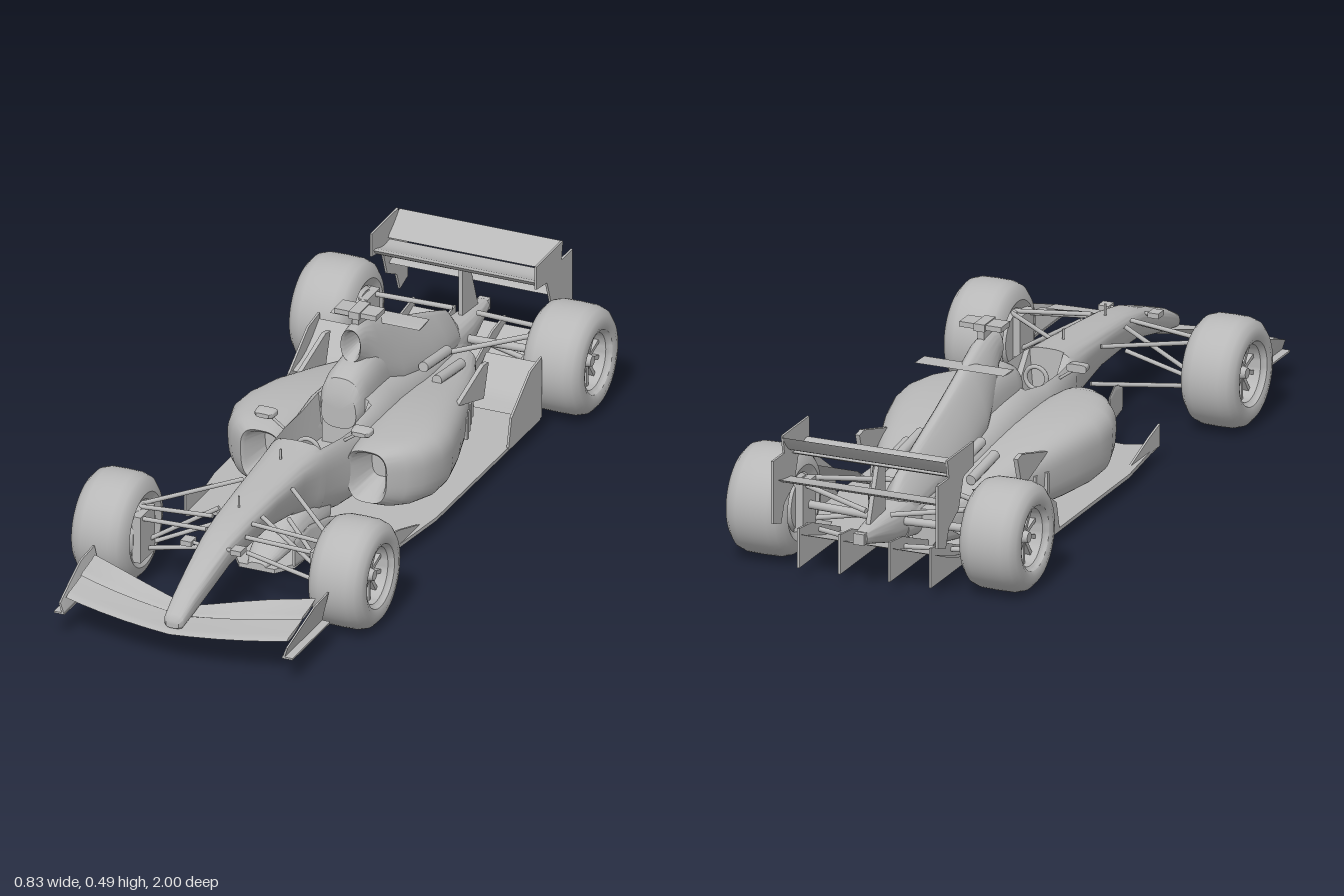
import * as THREE from 'three';
import { toCreasedNormals } from 'three/addons/utils/BufferGeometryUtils.js';

const V = (x, y, z) => new THREE.Vector3(x, y, z);

// Closed skin through equal-length rings of points, capped at both ends
function loft(rings, crease = 0.7) {
  const n = rings[0].length, pos = [], idx = [];
  rings.forEach(r => r.forEach(p => pos.push(p.x, p.y, p.z)));
  for (let s = 0; s < rings.length - 1; s++)
    for (let i = 0; i < n; i++) {
      const a = s * n + i, b = s * n + (i + 1) % n;
      idx.push(a, a + n, b, b, a + n, b + n);
    }
  [0, rings.length - 1].forEach((s, end) => {
    const c = pos.length / 3, m = V(0, 0, 0);
    rings[s].forEach(p => m.addScaledVector(p, 1 / n));
    pos.push(m.x, m.y, m.z);
    for (let i = 0; i < n; i++) {
      const a = s * n + i, b = s * n + (i + 1) % n;
      idx.push(c, ...(end ? [b, a] : [a, b]));
    }
  });
  const g = new THREE.BufferGeometry();
  g.setAttribute('position', new THREE.Float32BufferAttribute(pos, 3));
  g.setIndex(idx);
  return toCreasedNormals(g, crease);
}

// Rounded section: k scales the width at the bottom, notch cuts an opening in the top
function section({ z, x = 0, w, yb, yt, n = 2.6, k = 1, notch = 0, floor = 0.15 }) {
  const pts = [], pw = v => Math.sign(v) * Math.abs(v) ** (2 / n);
  for (let i = 0; i < 48; i++) {
    const a = i / 48 * Math.PI * 2, t = (pw(Math.sin(a)) + 1) / 2;
    const px = w * pw(Math.cos(a)) * (1 + (k - 1) * (1 - t));
    let y = yb + (yt - yb) * t;
    if (notch && t > 0.5 && Math.abs(px) < notch) y = Math.min(y, floor);
    pts.push(V(x + px, y, z));
  }
  return pts;
}

// Aerofoil ring at span x, from leading edge (y0, z0) to trailing edge (y1, z1)
function foil(x, y0, z0, y1, z1, th, camber = 0.008) {
  const pts = [], N = 8;
  const at = (t, side) => V(x,
    y0 + (y1 - y0) * t - camber * Math.sin(Math.PI * t) + side * th * Math.sqrt(t) * (1 - t) * 1.3,
    z0 + (z1 - z0) * t);
  for (let i = 0; i <= N; i++) pts.push(at(i / N, -1));
  for (let i = N - 1; i > 0; i--) pts.push(at(i / N, 1));
  return pts;
}

// Flat plates: upright (z, y outline) and level (x, z outline)
function outline(pts, th) {
  return new THREE.ExtrudeGeometry(new THREE.Shape(pts.map(p => new THREE.Vector2(...p))),
    { depth: th, bevelEnabled: false });
}
const upright = (pts, x, th = 0.006) => outline(pts, th).rotateY(-Math.PI / 2).translate(x + th / 2, 0, 0);
const level = (half, y, th = 0.008) =>
  outline([...half, ...half.slice().reverse().map(([x, z]) => [-x, z])], th).rotateX(Math.PI / 2).translate(0, y, 0);

// Round bar between two points
function bar(a, b, r, r2 = r) {
  const p = V(...a), q = V(...b), d = q.clone().sub(p);
  const g = new THREE.CylinderGeometry(r2, r, d.length(), 10);
  g.applyQuaternion(new THREE.Quaternion().setFromUnitVectors(V(0, 1, 0), d.normalize()));
  return g.translate((p.x + q.x) / 2, (p.y + q.y) / 2, (p.z + q.z) / 2);
}
const box = (w, h, d, x, y, z) => new THREE.BoxGeometry(w, h, d).translate(x, y, z);

export function createModel() {
  const car = new THREE.Group();
  car.name = 'racingCar';
  const grey = new THREE.MeshStandardMaterial({ color: 0xb8b8b8, side: THREE.DoubleSide });
  grey.name = 'bodyGrey';
  const add = (name, geo, parent = car) => {
    const m = new THREE.Mesh(geo, grey);
    m.name = name;
    parent.add(m);
    return m;
  };

  // Nose and tub with open cockpit: z, half width, bottom, top, bottom width, notch
  add('chassis', loft([
    [0.975, 0.018, 0.095, 0.115, 1], [0.965, 0.027, 0.09, 0.13, 1], [0.9, 0.034, 0.1, 0.163, 0.9],
    [0.8, 0.042, 0.122, 0.2, 0.85], [0.7, 0.05, 0.145, 0.233, 0.8], [0.6, 0.058, 0.15, 0.25, 0.75],
    [0.45, 0.068, 0.145, 0.263, 0.65], [0.3, 0.08, 0.115, 0.274, 0.6], [0.22, 0.088, 0.08, 0.28, 0.7],
    [0.2, 0.09, 0.07, 0.282, 0.8], [0.195, 0.09, 0.07, 0.282, 0.8, 0.045], [0.1, 0.098, 0.05, 0.282, 1, 0.073],
    [0, 0.105, 0.045, 0.275, 1.1, 0.073], [-0.09, 0.11, 0.045, 0.285, 1.1, 0.066], [-0.095, 0.11, 0.045, 0.286, 1.1],
    [-0.2, 0.105, 0.045, 0.285, 1.2], [-0.4, 0.09, 0.045, 0.24, 1.3], [-0.6, 0.065, 0.06, 0.19, 1.2],
    [-0.76, 0.045, 0.08, 0.165, 1]
  ].map(([z, w, yb, yt, k, notch]) => section({ z, w, yb, yt, k, notch, n: 3 }))));
  add('steeringWheel', new THREE.TorusGeometry(0.03, 0.006, 8, 20).translate(0, 0.225, 0.13));
  add('seatBack', box(0.1, 0.12, 0.02, 0, 0.2, -0.07).rotateX(-0.05));
  add('headrest', loft([[-0.06, 0.045, 0.3], [-0.075, 0.053, 0.335], [-0.11, 0.056, 0.352], [-0.2, 0.056, 0.365], [-0.3, 0.045, 0.34]]
    .map(([z, w, yt]) => section({ z, w, yb: 0.2, yt, k: 1.15 }))));

  // Air intake mouth flowing back into the engine cover
  add('engineCover', loft([
    [-0.22, 0.012, 0.375, 0.42, 1], [-0.145, 0.022, 0.363, 0.436, 1], [-0.135, 0.028, 0.355, 0.445, 1],
    [-0.17, 0.032, 0.335, 0.45, 1.1], [-0.23, 0.033, 0.25, 0.442, 1.8], [-0.32, 0.03, 0.19, 0.402, 3],
    [-0.42, 0.026, 0.17, 0.358, 3.6], [-0.52, 0.024, 0.15, 0.318, 3.8], [-0.62, 0.022, 0.14, 0.28, 3.5],
    [-0.72, 0.02, 0.13, 0.24, 3], [-0.76, 0.012, 0.14, 0.2, 3]
  ].map(([z, w, yb, yt, k]) => section({ z, w, yb, yt, k, n: 2.2 }))));
  add('cameraStem', box(0.018, 0.04, 0.05, 0, 0.455, -0.19));
  add('cameraBar', box(0.118, 0.014, 0.055, 0, 0.477, -0.19));
  add('cameraHousing', box(0.03, 0.02, 0.07, 0, 0.477, -0.19));
  add('coverWinglet', loft([0.125, -0.125].map(x => foil(x, 0.402, -0.285, 0.405, -0.35, 0.004, 0.001))));

  // Floor, central plank and rising diffuser
  add('floor', level([[0, 0.3], [0.07, 0.3], [0.14, 0.225], [0.21, 0.222], [0.285, 0.26], [0.29, 0.2],
    [0.312, 0.02], [0.315, -0.62], [0.235, -0.62], [0.22, -0.68], [0.18, -0.72], [0, -0.72]], 0.045, 0.01));
  add('plank', level([[0, 0.45], [0.05, 0.45], [0.085, 0.4], [0.1, 0.2], [0.1, -0.65], [0, -0.65]], 0.036, 0.012));
  add('splitter', loft([[0.45, 0.02, 0.045], [0.4, 0.035, 0.07], [0.28, 0.05, 0.13], [0.15, 0.06, 0.16]]
    .map(([z, w, yt]) => section({ z, w, yb: 0.03, yt, k: 1.4 }))));
  add('diffuser', loft([0.19, -0.19].map(x => foil(x, 0.04, -0.65, 0.12, -0.93, 0.008, 0.01))));

  // Gearbox and rear crash structure
  add('gearbox', loft([[-0.7, 0.05, 0.07, 0.19], [-0.82, 0.04, 0.09, 0.18], [-0.92, 0.025, 0.12, 0.17], [-0.96, 0.018, 0.13, 0.165]]
    .map(([z, w, yb, yt]) => section({ z, w, yb, yt }))));
  add('rearLight', box(0.03, 0.03, 0.02, 0, 0.148, -0.965));

  // Front wing: main plane and flap, swept and drooping to the middle
  const span = [0.31, 0.26, 0.2, 0.13, 0.06, 0, -0.06, -0.13, -0.2, -0.26, -0.31];
  add('frontWingMain', loft(span.map(x => {
    const t = Math.abs(x) / 0.31;
    return foil(x, 0.086 + 0.022 * t, 0.995 - 0.045 * t * t, 0.098 + 0.03 * t, 0.9 - 0.05 * t * t, 0.012, 0.004);
  })));
  add('frontWingFlap', loft(span.map(x => {
    const t = Math.abs(x) / 0.31;
    return foil(x, 0.1 + 0.03 * t, 0.908 - 0.05 * t * t, 0.11 + 0.042 * Math.sin(t * 1.9), 0.865 - 0.095 * t * t, 0.01, 0.005);
  })));

  // Rear wing: two upper elements and a lower beam
  add('rearWingMain', loft([0.228, -0.228].map(x => foil(x, 0.333, -0.785, 0.322, -0.885, 0.018, 0.014))));
  add('rearWingFlap', loft([0.228, -0.228].map(x => foil(x, 0.33, -0.875, 0.382, -0.945, 0.012, 0.008))));
  add('rearWingBeam', loft([0.23, -0.23].map(x => foil(x, 0.255, -0.88, 0.275, -0.97, 0.012, 0.006))));
  add('rearWingPylon', upright([[-0.82, 0.16], [-0.82, 0.32], [-0.86, 0.32], [-0.92, 0.16]], 0, 0.012));

  // Tyre and rim profiles (radius, offset along the axle)
  const tyre = (h, c) => [[0.078, -h + 0.012], [0.1, -h], [0.122, -h + 0.006], [0.138, -h + 0.02], [0.145, -h + 0.042],
    [0.146, 0], [0.145, h - 0.042], [0.138, h - 0.02], [0.122, h - 0.006], [0.1, h], [0.086, h - 0.006],
    [0.083, h - 0.014], [0.076, h - 0.02], [0.072, c], [0.001, c]];

  for (const s of [1, -1]) {
    const side = s > 0 ? 'left' : 'right';
    const part = (name, geo) => add(side + name, geo);
    const link = (name, a, b, r) => part(name, bar([a[0] * s, a[1], a[2]], [b[0] * s, b[1], b[2]], r));

    // Wheels
    for (const [name, z, h, x] of [['FrontWheel', 0.58, 0.08, 0.333], ['RearWheel', -0.777, 0.085, 0.328]]) {
      const wheel = new THREE.Group();
      wheel.name = side + name;
      const pts = tyre(h, h - 0.055).map(p => new THREE.Vector2(...p));
      add('tyreAndRim', toCreasedNormals(new THREE.LatheGeometry(pts, 56), 0.7), wheel);
      add('innerHub', new THREE.CylinderGeometry(0.08, 0.07, 0.02, 32).translate(0, -h + 0.014, 0), wheel);
      add('wheelNut', new THREE.CylinderGeometry(0.014, 0.022, 0.035, 16).translate(0, h - 0.04, 0), wheel);
      for (let i = 0; i < 10; i++)
        add('spoke', box(0.06, 0.016, 0.011, 0.045, h - 0.045, 0).rotateY(i * Math.PI / 5), wheel);
      wheel.rotation.z = -s * Math.PI / 2;
      wheel.position.set(s * x, 0.147, z);
      car.add(wheel);
    }

    // Sidepod with hollow inlet: z, inner x, outer x, bottom, top
    part('Sidepod', loft([
      [0, 0.12, 0.18, 0.12, 0.2], [0.085, 0.098, 0.2, 0.095, 0.223], [0.095, 0.09, 0.208, 0.087, 0.232],
      [0.06, 0.08, 0.25, 0.07, 0.24], [0.02, 0.07, 0.28, 0.06, 0.243], [-0.05, 0.06, 0.302, 0.05, 0.245],
      [-0.12, 0.05, 0.3, 0.045, 0.243], [-0.22, 0.04, 0.276, 0.042, 0.235], [-0.35, 0.03, 0.235, 0.042, 0.212],
      [-0.48, 0.02, 0.19, 0.042, 0.185], [-0.6, 0.02, 0.145, 0.042, 0.165], [-0.7, 0.02, 0.1, 0.05, 0.15]
    ].map(([z, a, b, yb, yt]) => section({ z, x: s * (a + b) / 2, w: (b - a) / 2, yb, yt, n: 3, k: 0.9 }))));
    for (let i = 0; i < 4; i++)
      part('CoolingGill', box(0.012, 0.06, 0.012, s * (0.236 - i * 0.014), 0.125, -0.33 - i * 0.04).rotateX(0));
    part('ChimneyFin', upright([[-0.3, 0.2], [-0.46, 0.245], [-0.49, 0.24], [-0.46, 0.15]], s * 0.222, 0.012));

    // Winglets sweeping up ahead of the rear wheel
    part('FlipUp', loft((s > 0 ? [0.312, 0.25, 0.16] : [-0.16, -0.25, -0.312])
      .map(x => foil(x, 0.12, -0.46, 0.195, -0.625, 0.008, 0.022))));
    part('FlipUpPlate', upright([[-0.42, 0.04], [-0.44, 0.12], [-0.56, 0.2], [-0.63, 0.21], [-0.63, 0.04]], s * 0.312));

    // Exhausts lying on the engine cover
    for (const [x, y] of [[0.085, 0.238], [0.123, 0.208]])
      link('Exhaust', [x, y, -0.4], [x, y - 0.02, -0.55], 0.014);

    // Barge board, floor tip and mirror
    part('BargeBoard', loft([[0.44, 0.1, 0.12], [0.37, 0.112, 0.14], [0.3, 0.13, 0.135], [0.24, 0.155, 0.12]]
      .map(([z, x, yt]) => section({ z, x: s * x, w: 0.004, yb: 0.05, yt, n: 4 }))));
    part('FloorTip', upright([[0.26, 0.04], [0.26, 0.1], [0.2, 0.085], [0.06, 0.04]], s * 0.287));
    part('Mirror', loft([[0.115, 0.018, 0.006], [0.105, 0.026, 0.01], [0.08, 0.028, 0.011]]
      .map(([z, w, h]) => section({ z, x: s * 0.135, w, yb: 0.286 - h, yt: 0.286 + h, n: 4 }))));
    link('MirrorStalk', [0.085, 0.25, 0.09], [0.13, 0.282, 0.09], 0.004);
    part('NoseCamera', box(0.03, 0.014, 0.035, s * 0.07, 0.215, 0.72));
    link('NoseCameraStalk', [0.03, 0.21, 0.72], [0.06, 0.215, 0.72], 0.005);

    // Front suspension
    link('UpperArmFore', [0.055, 0.235, 0.6], [0.275, 0.215, 0.59], 0.006);
    link('UpperArmAft', [0.07, 0.238, 0.38], [0.275, 0.215, 0.58], 0.006);
    link('SteeringArm', [0.055, 0.215, 0.64], [0.275, 0.2, 0.625], 0.006);
    link('LowerArmFore', [0.04, 0.15, 0.6], [0.275, 0.095, 0.59], 0.006);
    link('LowerArmAft', [0.05, 0.14, 0.36], [0.275, 0.095, 0.58], 0.006);
    link('PushRod', [0.06, 0.235, 0.55], [0.27, 0.105, 0.58], 0.006);
    part('FrontBrakeDuct', box(0.025, 0.13, 0.09, s * 0.25, 0.147, 0.6));

    // Rear suspension and driveshaft
    link('RearUpperArmFore', [0.05, 0.18, -0.6], [0.27, 0.21, -0.765], 0.007);
    link('RearUpperArmAft', [0.035, 0.18, -0.85], [0.27, 0.21, -0.785], 0.007);
    link('RearLowerArmFore', [0.05, 0.1, -0.62], [0.27, 0.095, -0.765], 0.007);
    link('RearLowerArmAft', [0.035, 0.1, -0.86], [0.27, 0.095, -0.785], 0.007);
    link('DriveShaft', [0.03, 0.14, -0.777], [0.27, 0.147, -0.777], 0.011);
    part('RearBrakeDuct', box(0.025, 0.13, 0.08, s * 0.238, 0.147, -0.78));

    // Wing end plates
    part('FrontEndPlate', loft([[0.97, 0.1], [0.9, 0.125], [0.82, 0.152], [0.735, 0.156]].map(([z, yt]) =>
      [[0.306, 0.07], [0.312, 0.07], [0.316 + (yt - 0.07) * 0.18, yt], [0.311 + (yt - 0.07) * 0.18, yt]]
        .map(([x, y]) => V(s * x, y, z)))));
    part('FrontFootPlate', box(0.03, 0.005, 0.235, s * 0.32, 0.071, 0.852));
    part('RearEndPlate', upright([[-0.775, 0.385], [-0.94, 0.385], [-0.93, 0.335], [-1, 0.335], [-1, 0.165],
      [-0.95, 0.15], [-0.93, 0.2], [-0.87, 0.23], [-0.84, 0.31], [-0.775, 0.32]], s * 0.231));
    for (const x of [0.07, 0.185])
      part('DiffuserFin', upright([[-0.68, 0.032], [-0.68, 0.06], [-0.86, 0.13], [-0.94, 0.14], [-0.94, 0.032]], s * x));
  }

  // Small sensor masts along the nose
  for (const [z, y] of [[0.56, 0.255], [0.3, 0.272]]) add('sensorMast', bar([0, y - 0.01, z], [0, y + 0.03, z], 0.003));
  return car;
}
